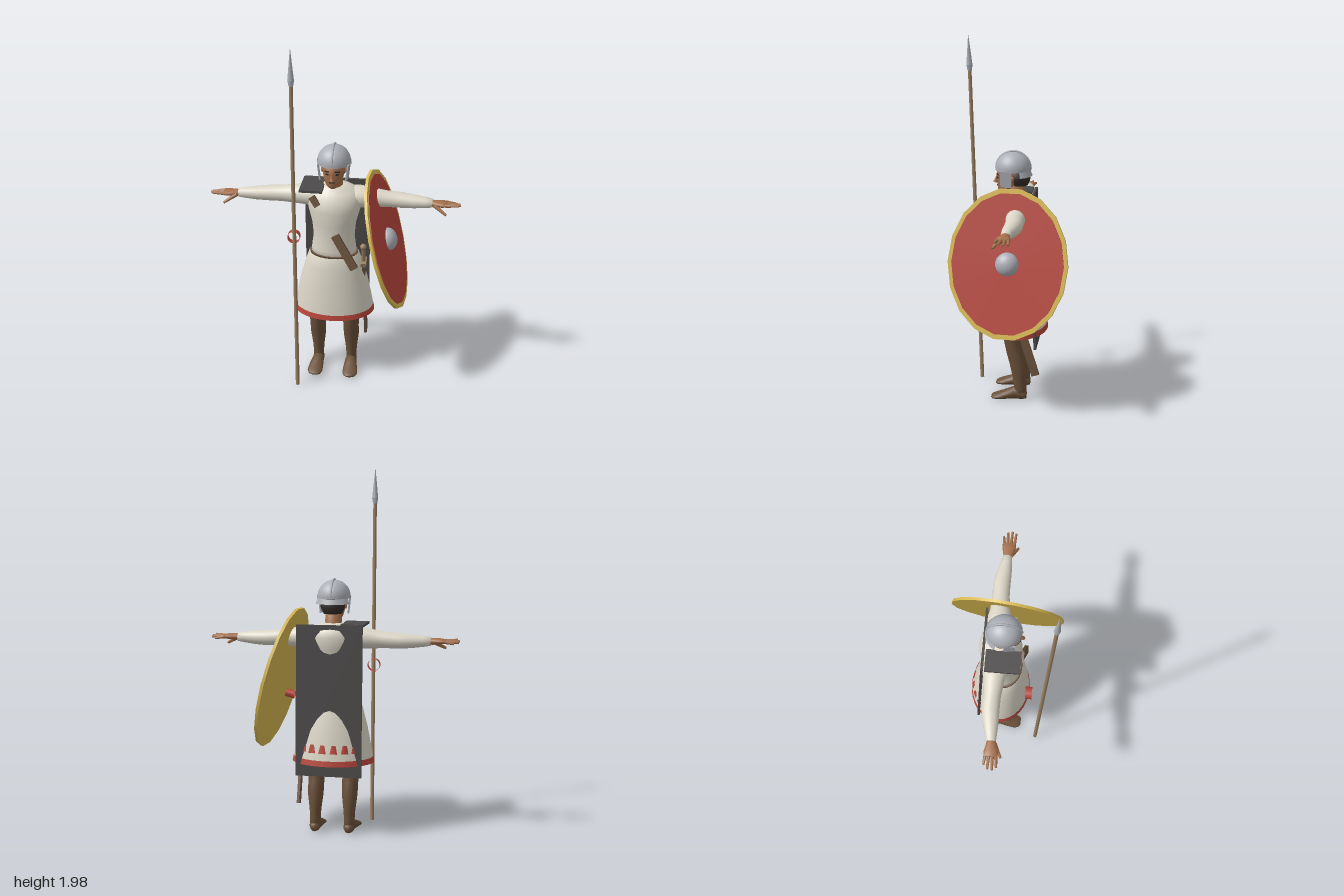
import * as THREE from 'three';

const mat = (name, color, double) => {
  const m = new THREE.MeshStandardMaterial({ color });
  m.name = name;
  if (double) m.side = THREE.DoubleSide;
  return m;
};

// Loft of ellipses: ring = [t, c1, c2, r1, r2]. Axis y: 1 = x, 2 = z. Axis x: 1 = z, 2 = y. Axis z: 1 = y, 2 = x.
function loft(rings, axis = 'y', capped = true, seg = 24) {
  const pos = [], idx = [];
  const add = (a, t, b) => pos.push(...(axis === 'y' ? [a, t, b] : axis === 'x' ? [t, b, a] : [b, a, t]));
  for (const [t, c1, c2, r1, r2] of rings)
    for (let i = 0; i < seg; i++) {
      const u = (i / seg) * Math.PI * 2;
      add(c1 + r1 * Math.cos(u), t, c2 - r2 * Math.sin(u));
    }
  for (let k = 0; k < rings.length - 1; k++)
    for (let i = 0; i < seg; i++) {
      const a = k * seg + i, b = k * seg + ((i + 1) % seg);
      idx.push(a, b, b + seg, a, b + seg, a + seg);
    }
  if (capped) {
    const last = (rings.length - 1) * seg, c = rings.length * seg;
    for (const r of [rings[0], rings[rings.length - 1]]) add(r[1], r[0], r[2]);
    for (let i = 0; i < seg; i++) {
      const j = (i + 1) % seg;
      idx.push(c, j, i, c + 1, last + i, last + j);
    }
  }
  const g = new THREE.BufferGeometry();
  g.setAttribute('position', new THREE.Float32BufferAttribute(pos, 3));
  g.setIndex(idx);
  g.computeVertexNormals();
  return g;
}

export function createModel() {
  const model = new THREE.Group();
  const tunic = mat('cream linen', 0xdad5c6), red = mat('red', 0xb8463c, true), gold = mat('gold', 0xd8b850);
  const dark = mat('dark cape', 0x4c4a49), steel = mat('steel', 0xadb0b7, true), wood = mat('wood', 0x9a8062);
  const leather = mat('leather', 0x6e5540), skin = mat('skin', 0xa4704c), legs = mat('brown leggings', 0x6a5039);
  const hair = mat('dark hair', 0x342d29);

  const part = (name, geo, m, p = [0, 0, 0], r = [0, 0, 0], parent = model) => {
    const mesh = new THREE.Mesh(geo, m);
    mesh.name = name;
    mesh.position.set(...p);
    mesh.rotation.set(...r);
    parent.add(mesh);
    return mesh;
  };
  const box = (x, y, z) => new THREE.BoxGeometry(x, y, z);
  const group = (name, p) => {
    const g = new THREE.Group();
    g.name = name;
    g.position.set(...p);
    model.add(g);
    return g;
  };
  const rod = (name, a, b, ra, rb, m, seg = 8) => {
    const A = new THREE.Vector3(...a), B = new THREE.Vector3(...b), d = B.clone().sub(A);
    const mesh = part(name, new THREE.CylinderGeometry(rb, ra, d.length(), seg), m);
    mesh.position.copy(A).add(B).multiplyScalar(0.5);
    mesh.quaternion.setFromUnitVectors(new THREE.Vector3(0, 1, 0), d.normalize());
  };

  // Tunic body, skirt, hem and red lining
  part('tunicBody', loft([
    [0.74, 0, 0, 0.128, 0.1], [0.8, 0, 0, 0.122, 0.099], [0.87, 0, 0, 0.113, 0.094], [0.95, 0, 0, 0.12, 0.1],
    [1.03, 0, -0.01, 0.142, 0.114], [1.09, 0, -0.018, 0.152, 0.112], [1.13, 0, -0.03, 0.135, 0.088],
    [1.155, 0, -0.025, 0.09, 0.065], [1.165, 0, -0.02, 0.055, 0.05]]), tunic);
  part('skirt', loft([[0.435, 0, -0.017, 0.219, 0.167], [0.5, 0, -0.014, 0.207, 0.158], [0.6, 0, -0.01, 0.187, 0.144],
    [0.7, 0, -0.003, 0.16, 0.125], [0.765, 0, 0, 0.138, 0.108], [0.77, 0, 0, 0.12, 0.095]], 'y', false, 32), tunic);
  part('hem', loft([[0.405, 0, -0.017, 0.226, 0.172], [0.435, 0, -0.017, 0.219, 0.167]], 'y', false, 32), red);
  part('skirtLining', loft([[0.407, 0, -0.017, 0.222, 0.168], [0.6, 0, -0.01, 0.181, 0.138],
    [0.76, 0, 0, 0.125, 0.095]], 'y', false, 32), red);
  part('belt', loft([[0.766, 0, 0, 0.134, 0.106], [0.776, 0, 0, 0.132, 0.104]]), leather);
  for (const a of [-0.75, -0.45, -0.15, 0.15, 0.45, 0.75]) {
    const g = new THREE.CylinderGeometry(0.013, 0.024, 0.045, 6).scale(1, 1, 0.18);
    part('skirtOrnament', g, red, [0.206 * Math.sin(a), 0.495, -0.014 - 0.159 * Math.cos(a)], [0.14, -a * 0.8, 0]);
  }

  // Mirrored limbs
  for (const s of [-1, 1]) {
    const along = (rings) => loft(s > 0 ? rings : rings.map(([x, ...r]) => [-x, ...r]).reverse(), 'x');
    part('sleeve', along([[0.07, -0.03, 1.09, 0.07, 0.055], [0.14, -0.035, 1.088, 0.07, 0.06],
      [0.2, -0.035, 1.085, 0.056, 0.054], [0.29, -0.038, 1.08, 0.047, 0.044], [0.36, -0.04, 1.077, 0.048, 0.042],
      [0.43, -0.033, 1.076, 0.042, 0.037], [0.49, -0.026, 1.076, 0.032, 0.03], [0.53, -0.023, 1.076, 0.026, 0.024]]), tunic);
    part('palm', along([[0.51, -0.022, 1.076, 0.021, 0.018], [0.54, -0.02, 1.076, 0.026, 0.018],
      [0.58, -0.018, 1.077, 0.037, 0.016], [0.61, -0.018, 1.077, 0.037, 0.012]]), skin);
    [[-0.052, 0.655], [-0.03, 0.678], [-0.005, 0.682], [0.016, 0.67]].forEach(([z, x], i) =>
      rod('finger', [s * 0.6, 1.077, -0.045 + i * 0.018], [s * x, 1.068 + i * 0.005, z], 0.0095, 0.006, skin));
    rod('thumb', [s * 0.54, 1.072, -0.003], [s * 0.605, 1.035, 0.034], 0.013, 0.007, skin);

    const x = s * 0.095;
    part('leg', loft([[0.03, x, -0.045, 0.03, 0.035], [0.08, x, -0.045, 0.029, 0.035], [0.13, x, -0.043, 0.032, 0.038],
      [0.22, x, -0.035, 0.043, 0.049], [0.29, x, -0.018, 0.044, 0.05], [0.36, x, -0.004, 0.046, 0.05],
      [0.44, x, 0, 0.053, 0.058], [0.6, x * 0.9, 0, 0.065, 0.075]]), legs);
    part('foot', loft([[-0.08, 0.035, x, 0.022, 0.022], [-0.06, 0.041, x, 0.032, 0.03], [-0.01, 0.045, x, 0.036, 0.033],
      [0.04, 0.034, x * 1.04, 0.025, 0.04], [0.08, 0.026, x * 1.06, 0.017, 0.043], [0.105, 0.022, x * 1.05, 0.012, 0.034],
      [0.115, 0.021, x * 1.03, 0.006, 0.02]], 'z'), legs);
  }

  // Head and face
  part('neck', loft([[1.12, 0, -0.02, 0.062, 0.055], [1.165, 0, -0.01, 0.046, 0.047], [1.24, 0, 0, 0.044, 0.05]]), skin);
  part('head', loft([[1.172, 0, 0.055, 0.02, 0.022], [1.188, 0, 0.045, 0.038, 0.042], [1.22, 0, 0.025, 0.052, 0.066],
    [1.26, 0, 0.012, 0.061, 0.082], [1.32, 0, 0.005, 0.067, 0.085]]), skin);
  part('hair', loft([[1.215, 0, -0.03, 0.05, 0.045], [1.25, 0, -0.03, 0.066, 0.058], [1.31, 0, -0.025, 0.072, 0.064]]), hair);
  part('nose', new THREE.ConeGeometry(0.013, 0.045, 6), skin, [0, 1.248, 0.097], [-0.2, 0, 0]);
  part('mouth', box(0.032, 0.005, 0.008), hair, [0, 1.213, 0.088]);
  for (const s of [-1, 1]) {
    part('eye', box(0.018, 0.008, 0.008), hair, [s * 0.026, 1.258, 0.084], [0, s * 0.4, 0]);
    part('eyebrow', box(0.028, 0.006, 0.008), hair, [s * 0.027, 1.274, 0.085], [0, s * 0.4, -s * 0.1]);
    part('ear', new THREE.SphereGeometry(0.016, 8, 6).scale(0.5, 1, 0.8), skin, [s * 0.063, 1.255, 0.005]);
  }

  // Helmet with crest, cheek guards and neck guard
  const helmet = group('helmet', [0, 1.305, 0.004]);
  part('helmetBowl', new THREE.SphereGeometry(1, 24, 10, 0, Math.PI * 2, 0, Math.PI / 2).scale(0.09, 0.09, 0.095), steel,
    [0, 0, 0], [0, 0, 0], helmet);
  part('helmetRim', loft([[-0.008, 0, 0, 0.092, 0.097], [0.006, 0, 0, 0.092, 0.097]], 'y', false), steel,
    [0, 0, 0], [0, 0, 0], helmet);
  part('crest', new THREE.TorusGeometry(0.093, 0.006, 6, 20, Math.PI), steel, [0, 0, 0], [0, Math.PI / 2, 0], helmet);
  part('neckGuard', new THREE.CylinderGeometry(0.091, 0.104, 0.035, 14, 1, true, Math.PI - 1.1, 2.2), steel,
    [0, -0.02, 0.002], [0, 0, 0], helmet);
  for (const s of [-1, 1])
    part('cheekGuard', box(0.007, 0.09, 0.06), steel, [s * 0.078, -0.047, 0.032], [0, -s * 0.12, -s * 0.12], helmet);

  // Cape panel, shoulder fold and brooch
  part('cape', box(0.36, 0.82, 0.014), dark, [0.005, 0.75, -0.119], [0.04, 0, 0]);
  part('shoulderFold', box(0.125, 0.013, 0.19), dark, [-0.115, 1.157, 0.006]);
  part('brooch', box(0.035, 0.06, 0.02), leather, [-0.095, 1.095, 0.082], [-0.2, 0, 0.6]);

  // Dagger sheath across the waist
  part('daggerSheath', box(0.044, 0.215, 0.02), leather, [0.072, 0.815, 0.112], [-0.1, 0, 0.525]);

  // Sword hanging at the left hip
  const sword = group('sword', [0.168, 0.83, 0.062]);
  sword.rotation.x = 0.3;
  part('pommel', new THREE.SphereGeometry(0.018, 10, 8), wood, [0, 0, 0], [0, 0, 0], sword);
  part('grip', new THREE.CylinderGeometry(0.011, 0.011, 0.1, 8), wood, [0, -0.06, 0], [0, 0, 0], sword);
  part('guard', box(0.03, 0.025, 0.06), wood, [0, -0.115, 0], [0, 0, 0], sword);
  part('scabbard', box(0.015, 0.55, 0.044), leather, [0, -0.4, 0], [0, 0, 0], sword);

  // Oval shield: gold backing and rim, red face, steel boss
  const shield = group('shield', [0.29, 0.855, 0]);
  shield.quaternion.setFromUnitVectors(new THREE.Vector3(1, 0, 0), new THREE.Vector3(1, 0.266, 0.1).normalize());
  const disc = (k, h) => new THREE.CylinderGeometry(k, k, h, 18).rotateZ(-Math.PI / 2).scale(1, 0.4, 0.322);
  part('shieldRim', disc(1, 0.016), gold, [0, 0, 0], [0, 0, 0], shield);
  part('shieldFace', disc(0.935, 0.006), red, [0.008, 0, 0], [0, 0, 0], shield);
  part('shieldBoss', new THREE.SphereGeometry(0.063, 18, 8, 0, Math.PI * 2, 0, Math.PI / 2).rotateZ(-Math.PI / 2)
    .scale(0.75, 1, 1), steel, [0.01, 0, 0], [0, 0, 0], shield);

  // Red grip loops for shield and spear
  const loop = (r, h) => new THREE.CylinderGeometry(r, r, h, 14, 1, true);
  part('shieldGrip', loop(0.022, 0.05), red, [0.24, 0.767, -0.01], [0, 0, -Math.PI / 2 + 0.26]);
  part('spearGrip', loop(0.034, 0.036), red, [-0.197, 0.915, 0.153], [Math.PI / 2, 0, 0]);

  // Spear
  rod('spearShaft', [-0.18, 0.01, 0.21], [-0.18, 1.81, 0.266], 0.011, 0.01, wood, 10);
  rod('spearSocket', [-0.18, 1.8, 0.266], [-0.18, 1.83, 0.267], 0.012, 0.017, steel, 8);
  rod('spearPoint', [-0.18, 1.83, 0.267], [-0.18, 1.99, 0.272], 0.017, 0.001, steel, 8);

  return model;
}
